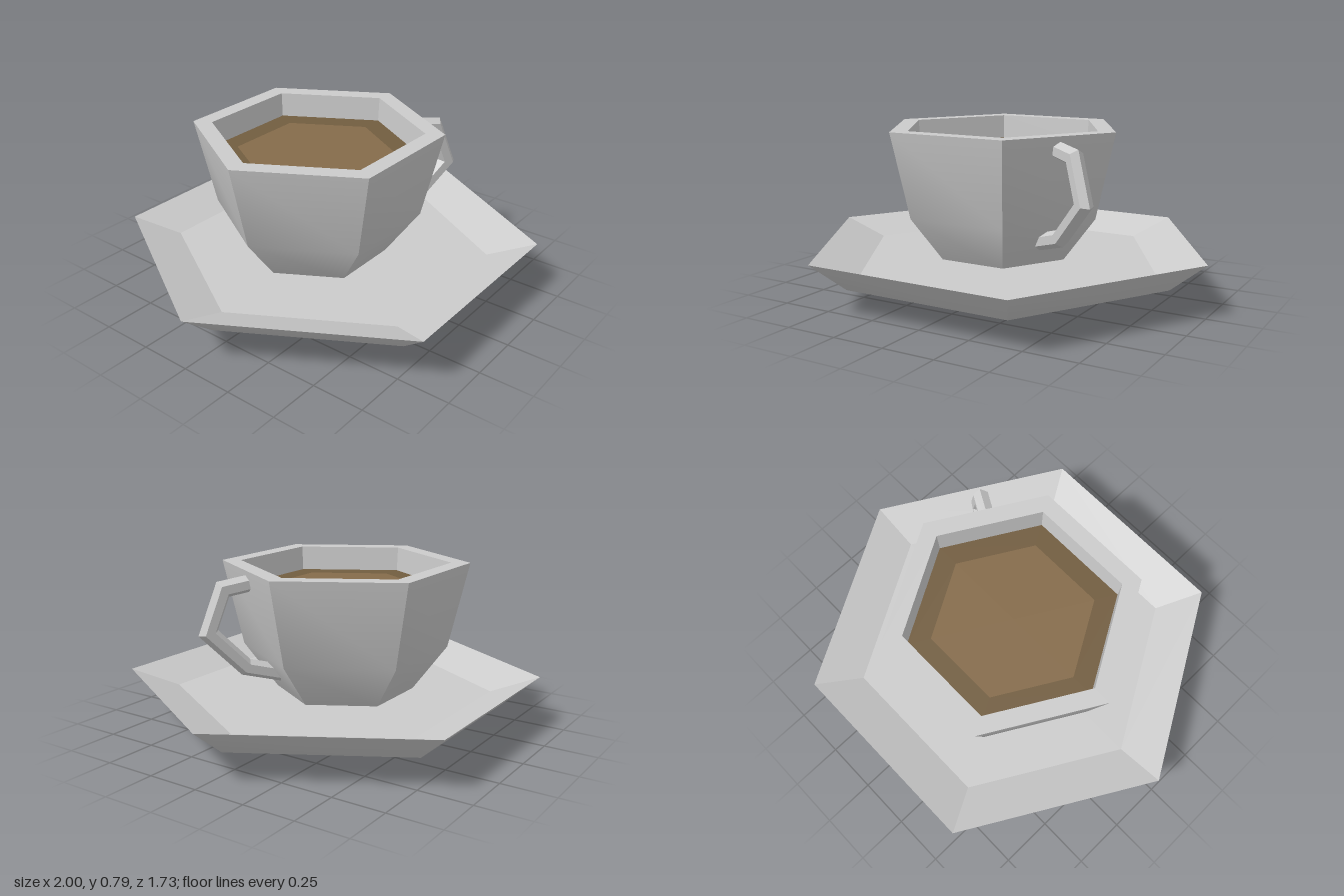
import * as THREE from 'three';
import { toCreasedNormals } from 'three/addons/utils/BufferGeometryUtils.js';

const SIDES = 6;
const CREASE = THREE.MathUtils.degToRad(30);

function material(color = 0xcccccc, flatShading = false) {
  return new THREE.MeshStandardMaterial({ color, flatShading });
}

// Six-sided lathe with corners on the x axis; smooth = soft bends along the profile only
function hexLathe(name, profile, { smooth = false, color } = {}) {
  const points = profile.map(([r, y]) => new THREE.Vector2(r, y));
  let geometry = new THREE.LatheGeometry(points, SIDES, Math.PI / 2);
  if (smooth) geometry = toCreasedNormals(geometry, CREASE);
  const mesh = new THREE.Mesh(geometry, material(color, !smooth));
  mesh.name = name;
  return mesh;
}

// Sweeps a polygon along a path in the xy plane, with mitred bends and capped ends
function mitredBar(path, radius, sides) {
  const pts = path.map(([x, y]) => new THREE.Vector2(x, y));
  const last = pts.length - 1;
  const positions = [];
  const index = [];
  pts.forEach((p, i) => {
    const before = pts[Math.max(i, 1)].clone().sub(pts[Math.max(i, 1) - 1]).normalize();
    const j = Math.min(i, last - 1);
    const after = pts[j + 1].clone().sub(pts[j]).normalize();
    const dir = before.clone().add(after).normalize();
    const stretch = 1 / dir.dot(after);
    for (let k = 0; k < sides; k++) {
      const a = (k / sides) * Math.PI * 2;
      const n = Math.cos(a) * radius * stretch;
      positions.push(p.x - dir.y * n, p.y + dir.x * n, Math.sin(a) * radius);
    }
  });
  for (let i = 0; i < last; i++) {
    for (let k = 0; k < sides; k++) {
      const a = i * sides + k;
      const b = i * sides + ((k + 1) % sides);
      index.push(a, b, a + sides, b, b + sides, a + sides);
    }
  }
  for (let k = 1; k < sides - 1; k++) {
    const e = last * sides;
    index.push(0, k + 1, k, e, e + k, e + k + 1);
  }
  const geometry = new THREE.BufferGeometry();
  geometry.setAttribute('position', new THREE.Float32BufferAttribute(positions, 3));
  geometry.setIndex(index);
  geometry.computeVertexNormals();
  return geometry;
}

export function createModel() {
  const model = new THREE.Group();
  model.name = 'cupAndSaucer';

  // Saucer: flat foot, flared underside, shallow dish on top
  const saucer = new THREE.Group();
  saucer.name = 'saucer';
  saucer.add(
    hexLathe('saucerFoot', [[0, 0], [0.52, 0]]),
    hexLathe('saucerUnderside', [[0.52, 0], [0.83, 0.105], [1, 0.242]], { smooth: true }),
    hexLathe('saucerDish', [[1, 0.242], [0.766, 0.165], [0, 0.165]]),
  );

  // Cup stands slightly off the saucer's centre
  const cup = new THREE.Group();
  cup.name = 'cup';
  cup.position.set(-0.05, 0, -0.038);
  cup.add(
    hexLathe('cupBase', [[0, 0.166], [0.333, 0.166]]),
    hexLathe('cupWall', [[0.333, 0.166], [0.495, 0.38], [0.59, 0.79]], { smooth: true }),
    hexLathe('cupRim', [[0.59, 0.79], [0.5, 0.79]]),
    hexLathe('cupInnerWall', [[0.5, 0.79], [0.492, 0.672]]),
  );

  // Drink: darker border around a lighter middle
  cup.add(
    hexLathe('drinkBorder', [[0.492, 0.672], [0.382, 0.672]], { color: 0x725d40 }),
    hexLathe('drinkMiddle', [[0.382, 0.672], [0, 0.672]], { color: 0x856b4a }),
  );

  // Handle: angular bar leaving the middle of one side
  const path = [[0.47, 0.73], [0.615, 0.71], [0.69, 0.515], [0.514, 0.335], [0.323, 0.28]];
  const handle = new THREE.Mesh(mitredBar(path, 0.04, 6), material(0xcccccc, true));
  handle.name = 'handle';
  handle.rotation.y = -Math.PI / 6;
  cup.add(handle);

  model.add(saucer, cup);
  return model;
}
